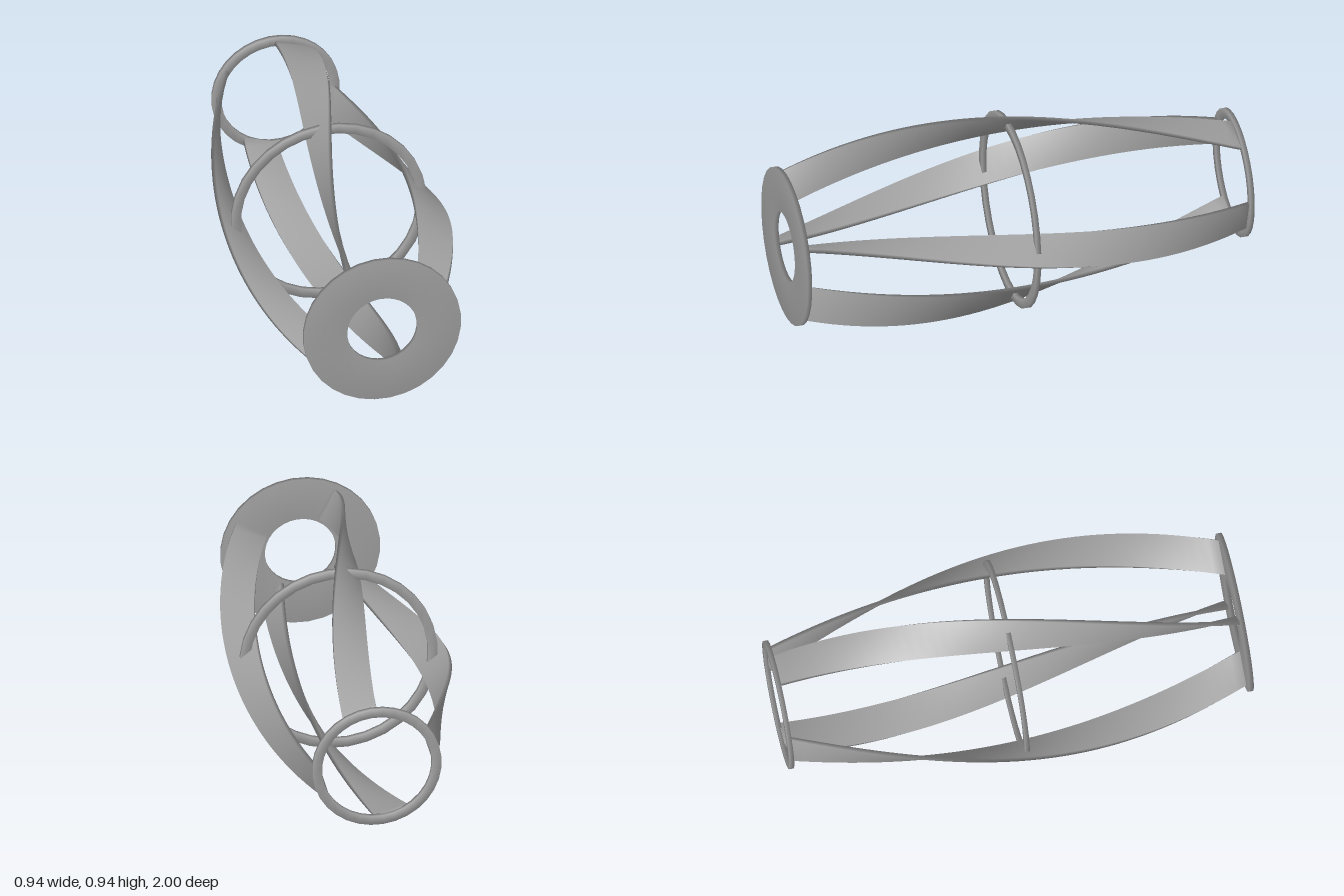
import * as THREE from 'three';

const material = new THREE.MeshStandardMaterial({ color: 0xa0a0a0, side: THREE.DoubleSide });
const CENTRE_Y = 0.467;
const SIDES = 32;

// Joins four-cornered sections into one smooth-shaded skin, closed or capped
function loft(sections, closed) {
  const rows = sections.length;
  const index = [];
  for (let i = 0; i < (closed ? rows : rows - 1); i++) {
    const here = i * 4, next = ((i + 1) % rows) * 4;
    for (let j = 0; j < 4; j++) {
      const k = (j + 1) % 4;
      index.push(here + j, here + k, next + k, here + j, next + k, next + j);
    }
  }
  if (!closed) {
    const e = (rows - 1) * 4;
    index.push(0, 2, 1, 0, 3, 2, e, e + 1, e + 2, e, e + 2, e + 3);
  }
  const geo = new THREE.BufferGeometry().setFromPoints(sections.flat());
  geo.setIndex(index);
  geo.computeVertexNormals();
  return geo;
}

// Flat annulus lying across the z axis
function annulus(name, inner, outer, z0, z1) {
  const corners = [[outer, z1], [outer, z0], [inner, z0], [inner, z1]];
  const sections = [];
  for (let i = 0; i < SIDES; i++) {
    const a = ((i + 0.5) / SIDES) * Math.PI * 2;
    sections.push(corners.map(([r, z]) => new THREE.Vector3(r * Math.cos(a), r * Math.sin(a), z)));
  }
  const mesh = new THREE.Mesh(loft(sections, true), material);
  mesh.name = name;
  return mesh;
}

// Twisted ribbon: its centre bows outwards and swings round the axis,
// while its chord turns from tangential (back) to radial (front)
function bladeGeometry() {
  const rows = 40, half = 0.075, thick = 0.009, zEnd = 0.985;
  const corners = [[half, -thick], [half, thick], [-half, thick], [-half, -thick]];
  const origin = new THREE.Vector2();
  const sections = [];
  for (let i = 0; i <= rows; i++) {
    const t = i / rows;
    const u = 2 * t - 1;
    const radius = 0.408 - 0.168 * u * u;
    const twist = (t * Math.PI) / 2;
    const swing = THREE.MathUtils.degToRad(-16.5 + 45 * t);
    sections.push(corners.map(([c, s]) => {
      const p = new THREE.Vector2(c, s).rotateAround(origin, twist);
      p.y += radius;
      p.rotateAround(origin, swing);
      return new THREE.Vector3(p.x, p.y, u * zEnd);
    }));
  }
  return loft(sections, false);
}

export function createModel() {
  const rotor = new THREE.Group();
  rotor.name = 'rotor';
  rotor.position.y = CENTRE_Y;

  // End plates and middle hoop
  rotor.add(annulus('frontDisc', 0.153, 0.343, 0.98, 1));
  rotor.add(annulus('backRing', 0.237, 0.278, -1, -0.98));
  rotor.add(annulus('middleHoop', 0.385, 0.426, -0.01, 0.01));

  // Four blades around the axis
  const geo = bladeGeometry();
  for (let i = 0; i < 4; i++) {
    const blade = new THREE.Mesh(geo, material);
    blade.name = `blade${i + 1}`;
    blade.rotation.z = (i * Math.PI) / 2;
    rotor.add(blade);
  }

  const model = new THREE.Group();
  model.name = 'model';
  model.add(rotor);
  return model;
}
